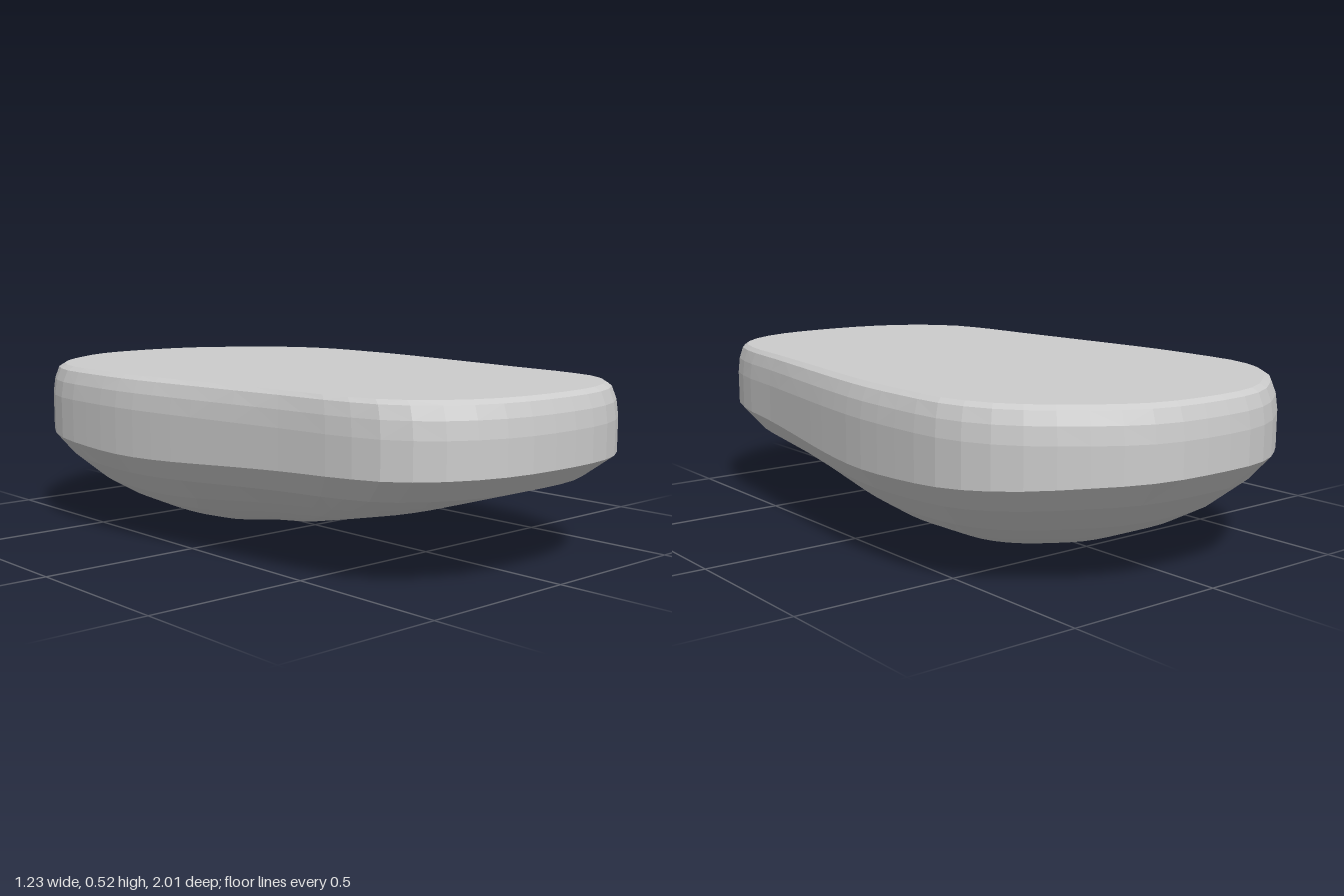
import * as THREE from 'three';

const SEGMENTS = 64;
const KEEL_Z = -0.2; // lowest point of the belly
const TOP_Y = 0.52;

// Half of the plan outline, back to front: [x, z]
const half = [
  [0.13, -1], [0.25, -0.965], [0.37, -0.89], [0.47, -0.81], [0.55, -0.71], [0.6, -0.58],
  [0.615, -0.4], [0.615, -0.2], [0.595, 0], [0.565, 0.22], [0.53, 0.47], [0.508, 0.65],
  [0.465, 0.8], [0.38, 0.9], [0.27, 0.965], [0.13, 1],
];

// Belly height against distance from the keel: [distance, side and back, front]
const bellyProfile = [
  [1, 1, 1], [0.92, 0.77, 0.78], [0.79, 0.51, 0.63], [0.66, 0.33, 0.48], [0.52, 0.19, 0.36],
  [0.36, 0.09, 0.22], [0.18, 0.03, 0.1], [0.08, 0.012, 0.04],
];

// Rounded shoulder: [height, inset from the outline]
const shoulder = [[0.52, 0.042], [0.508, 0.022], [0.47, 0.007], [0.42, 0]];

function outlinePoints() {
  const full = [...half, ...half.slice().reverse().map(([x, z]) => [-x, z])];
  const curve = new THREE.CatmullRomCurve3(
    full.map(([x, z]) => new THREE.Vector3(x, 0, z)), true, 'centripetal');
  return curve.getSpacedPoints(SEGMENTS).slice(0, SEGMENTS);
}

// Joins closed rings from top to bottom, with an optional fan to a final point
function loft(name, rings, material, tip, flip = false) {
  const positions = rings.flat().flatMap((p) => [p.x, p.y, p.z]);
  const index = [];
  const tri = (a, b, c) => (flip ? index.push(a, c, b) : index.push(a, b, c));
  for (let r = 0; r < rings.length - 1; r++) {
    for (let i = 0; i < SEGMENTS; i++) {
      const j = (i + 1) % SEGMENTS;
      const a = r * SEGMENTS + i, b = r * SEGMENTS + j;
      const c = a + SEGMENTS, d = b + SEGMENTS;
      // Alternate the diagonals for a faceted surface
      if ((i + r) % 2) { tri(a, b, c); tri(b, d, c); }
      else { tri(a, b, d); tri(a, d, c); }
    }
  }
  if (tip) {
    const last = (rings.length - 1) * SEGMENTS;
    positions.push(tip.x, tip.y, tip.z);
    for (let i = 0; i < SEGMENTS; i++) {
      tri(last + i, last + (i + 1) % SEGMENTS, rings.length * SEGMENTS);
    }
  }
  const geometry = new THREE.BufferGeometry();
  geometry.setAttribute('position', new THREE.Float32BufferAttribute(positions, 3));
  geometry.setIndex(index);
  geometry.computeVertexNormals();
  const mesh = new THREE.Mesh(geometry, material);
  mesh.name = name;
  return mesh;
}

export function createModel() {
  const group = new THREE.Group();
  group.name = 'flatToppedStone';
  const material = new THREE.MeshStandardMaterial({ color: 0xcccccc, flatShading: true });
  const outline = outlinePoints();

  // Direction and distance of each outline point from the keel
  const spokes = outline.map((p) => {
    const r = Math.hypot(p.x, p.z - KEEL_Z);
    return { r, dx: p.x / r, dz: (p.z - KEEL_Z) / r };
  });
  const place = (s, r, y) => new THREE.Vector3(s.dx * r, y, KEEL_Z + s.dz * r);
  const edgeY = (s) => 0.275 + 0.045 * s.dz * s.dz;

  // Upright band with a rounded shoulder
  const rimRings = shoulder.map(([y, inset]) => spokes.map((s) => place(s, s.r - inset, y)));
  const edgeRing = spokes.map((s) => place(s, s.r, edgeY(s)));
  group.add(loft('rim', [...rimRings, edgeRing], material));

  // Flat top face
  group.add(loft('topFace', [rimRings[0]], material, new THREE.Vector3(0, TOP_Y, KEEL_Z), true));

  // Rounded underside, steep at the back and sides, sloping gently to the front
  const bellyRings = bellyProfile.map(([t, side, front]) => spokes.map((s) => {
    const f = THREE.MathUtils.lerp(side, front, Math.max(0, s.dz) ** 2);
    return place(s, s.r * t, edgeY(s) * f);
  }));
  group.add(loft('belly', bellyRings, material, new THREE.Vector3(0, 0, KEEL_Z)));

  // Orientation: the outline runs clockwise or not depending on its start, so check the top
  const top = group.getObjectByName('topFace');
  if (top.geometry.attributes.normal.getY(0) < 0) {
    group.children.forEach((m) => {
      const ids = m.geometry.index.array;
      for (let i = 0; i < ids.length; i += 3) [ids[i + 1], ids[i + 2]] = [ids[i + 2], ids[i + 1]];
      m.geometry.computeVertexNormals();
    });
  }
  return group;
}
